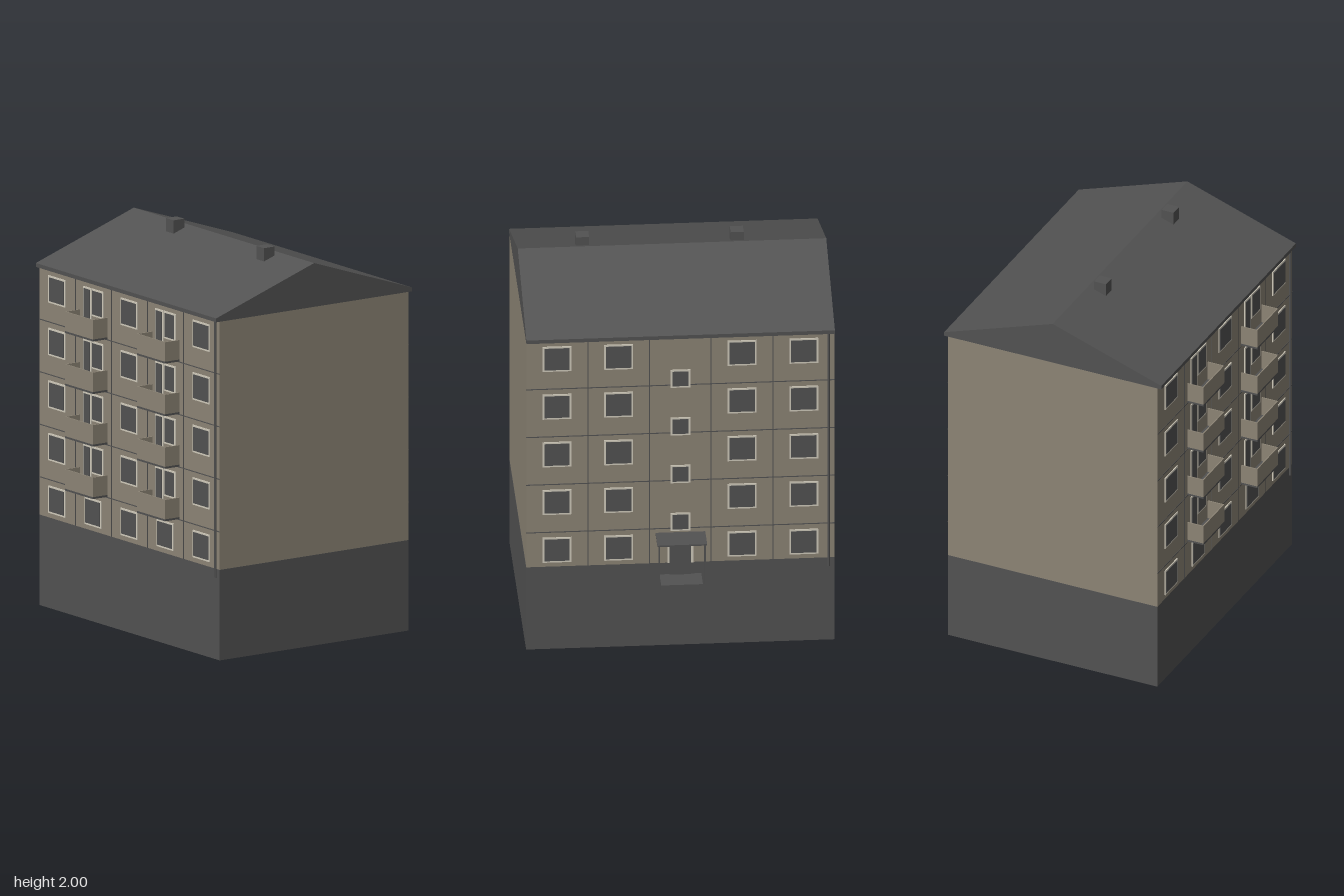
import * as THREE from 'three';

const material = (name, color) => new THREE.MeshStandardMaterial({ name, color });

export function createModel() {
  const house = new THREE.Group();
  house.name = 'apartmentBlock';
  const dark = material('darkGrey', 0x525252);
  const tan = material('tanPanel', 0x8c8475);
  const light = material('paleFrame', 0xd0cabb);

  const MID = -0.0275, HALF = 0.5825, DEPTH = 1.55;
  const PLINTH = 0.465, EAVE = 1.745, FLOOR = 0.27;

  // Box given by its lower and upper limits on each axis
  function box(name, mat, x, y, z, parent = house) {
    const mesh = new THREE.Mesh(new THREE.BoxGeometry(
      Math.abs(x[1] - x[0]), y[1] - y[0], Math.abs(z[1] - z[0])), mat);
    mesh.position.set((x[0] + x[1]) / 2, (y[0] + y[1]) / 2, (z[0] + z[1]) / 2);
    mesh.name = name;
    parent.add(mesh);
    return mesh;
  }
  const span = (c, size) => [c - size / 2, c + size / 2];

  // Main volumes
  box('plinth', dark, span(MID, 2 * HALF), [0, PLINTH], span(0, DEPTH));
  box('walls', tan, span(MID, 2 * HALF), [PLINTH, EAVE], span(0, DEPTH - 0.002));

  // Gabled roof with a thin eave edge
  const profile = new THREE.Shape([
    [-0.632, EAVE - 0.005], [0.577, EAVE - 0.005], [0.577, 1.76], [MID, 1.965], [-0.632, 1.76],
  ].map(([x, y]) => new THREE.Vector2(x, y)));
  const roof = new THREE.Mesh(
    new THREE.ExtrudeGeometry(profile, { depth: DEPTH, bevelEnabled: false }), dark);
  roof.position.z = -DEPTH / 2;
  roof.name = 'roof';
  house.add(roof);

  // Chimneys
  for (const z of [0.447, -0.33])
    box('chimney', dark, span(-0.092, 0.066), [1.9, 2], span(z, 0.066));

  // Facades: s = 1 is the entrance side, s = -1 the balcony side
  for (const s of [1, -1]) {
    const facade = new THREE.Group();
    facade.name = s > 0 ? 'entranceFacade' : 'balconyFacade';
    house.add(facade);
    const wall = MID + s * HALF;
    const out = d => [wall, wall + s * d];

    const opening = (name, y, z, h, w) => {
      box(name + 'Frame', light, out(0.005), span(y, h), span(z, w), facade);
      box(name + 'Pane', dark, out(0.007), span(y, h - 0.018), span(z, w - 0.018), facade);
    };

    // Panel seams
    for (let i = 1; i < 5; i++)
      box('floorSeam', dark, out(0.002), span(0.39 + i * FLOOR, 0.005), span(0, DEPTH), facade);
    for (const z of [-0.465, -0.155, 0.155, 0.465])
      box('panelSeam', dark, out(0.002), [PLINTH, EAVE], span(z, 0.005), facade);

    // Windows, balconies and balcony doors
    for (let i = 0; i < 5; i++) {
      const y = 0.56 + i * FLOOR;
      for (let c = -2; c <= 2; c++) {
        const z = c * 0.31;
        const hasBalcony = s < 0 && i > 0 && Math.abs(c) === 1;
        if (c === 0 && s > 0) {
          if (i > 0) opening('stairWindow', y - 0.135 + 0.001, 0, 0.1, 0.1);
        } else if (hasBalcony) {
          opening('balconyWindow', y, z + 0.04, 0.14, 0.1);
          opening('balconyDoor', y - 0.03, z - 0.05, 0.2, 0.07);
          const base = y - 0.167;
          box('balconyFloor', dark, out(0.09), [base, base + 0.01], span(z, 0.24), facade);
          box('balconyFront', tan, [wall - 0.084, wall - 0.09],
            [base + 0.01, base + 0.11], span(z, 0.24), facade);
          for (const e of [-1, 1])
            box('balconySide', tan, out(0.084), [base + 0.01, base + 0.11],
              span(z + e * 0.117, 0.006), facade);
        } else {
          opening('window', y, z, 0.14, 0.145);
        }
      }
    }

    // Drainpipe near one corner
    const pipe = new THREE.Mesh(new THREE.CylinderGeometry(0.006, 0.006, EAVE - 0.42, 8), dark);
    pipe.position.set(wall + s * 0.005, (EAVE + 0.42) / 2, -s * 0.745);
    pipe.name = 'drainpipe';
    facade.add(pipe);
  }

  // Entrance door, step, canopy and posts
  const entrance = new THREE.Group();
  entrance.name = 'entrance';
  house.add(entrance);
  const wall = MID + HALF;
  box('doorFrame', light, [wall, wall + 0.005], [PLINTH, 0.605], span(0, 0.13), entrance);
  box('door', dark, [wall, wall + 0.007], [0.4, 0.594], span(0, 0.108), entrance);
  box('step', dark, [wall, 0.675], [0.36, 0.4], span(0, 0.21), entrance);
  box('canopy', dark, [wall, 0.695], [0.628, 0.636], span(0, 0.25), entrance);
  for (const z of [-0.115, 0.115])
    box('canopyPost', dark, span(0.68, 0.008), [0.4, 0.63], span(z, 0.008), entrance);

  return house;
}
